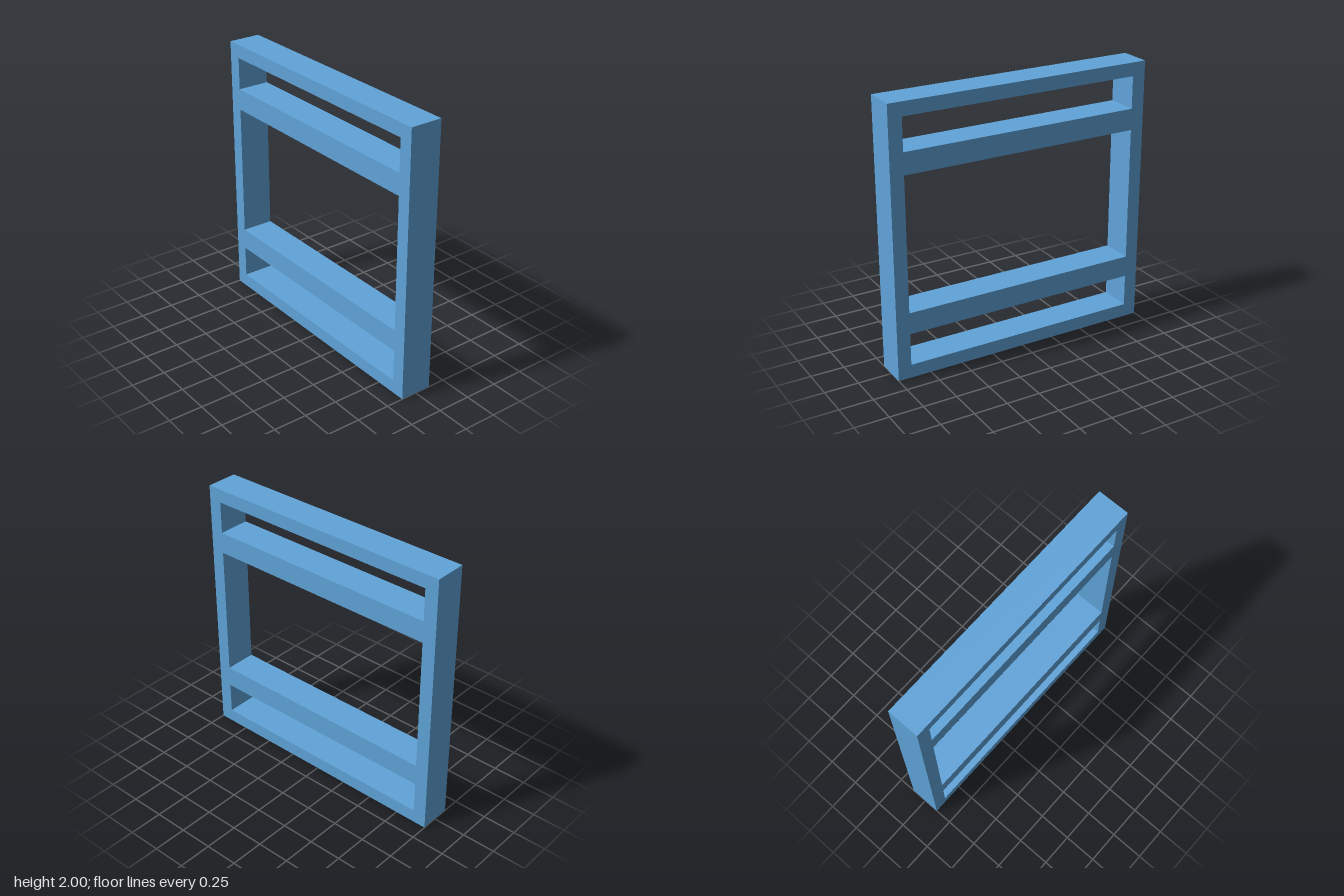
import * as THREE from 'three';

const DEPTH = 0.24;

// Rectangle from its edges, as a closed path
function rectangle(PathType, left, right, bottom, top) {
  const path = new PathType();
  path.moveTo(left, bottom);
  path.lineTo(right, bottom);
  path.lineTo(right, top);
  path.lineTo(left, top);
  path.closePath();
  return path;
}

export function createModel() {
  const group = new THREE.Group();
  group.name = 'windowFrame';

  // Square outline with three openings, leaving two cross rails
  const outline = rectangle(THREE.Shape, -1, 1, 0, 2);
  const openings = [[0.1, 0.34], [0.5, 1.5], [1.66, 1.9]];
  for (const [bottom, top] of openings) {
    outline.holes.push(rectangle(THREE.Path, -0.9, 0.9, bottom, top));
  }

  // One solid blue frame, centred front to back
  const geometry = new THREE.ExtrudeGeometry(outline, { depth: DEPTH, bevelEnabled: false });
  geometry.translate(0, 0, -DEPTH / 2);
  const material = new THREE.MeshStandardMaterial({ color: 0x60a4da });
  const frame = new THREE.Mesh(geometry, material);
  frame.name = 'frameWithCrossRails';
  group.add(frame);

  return group;
}
